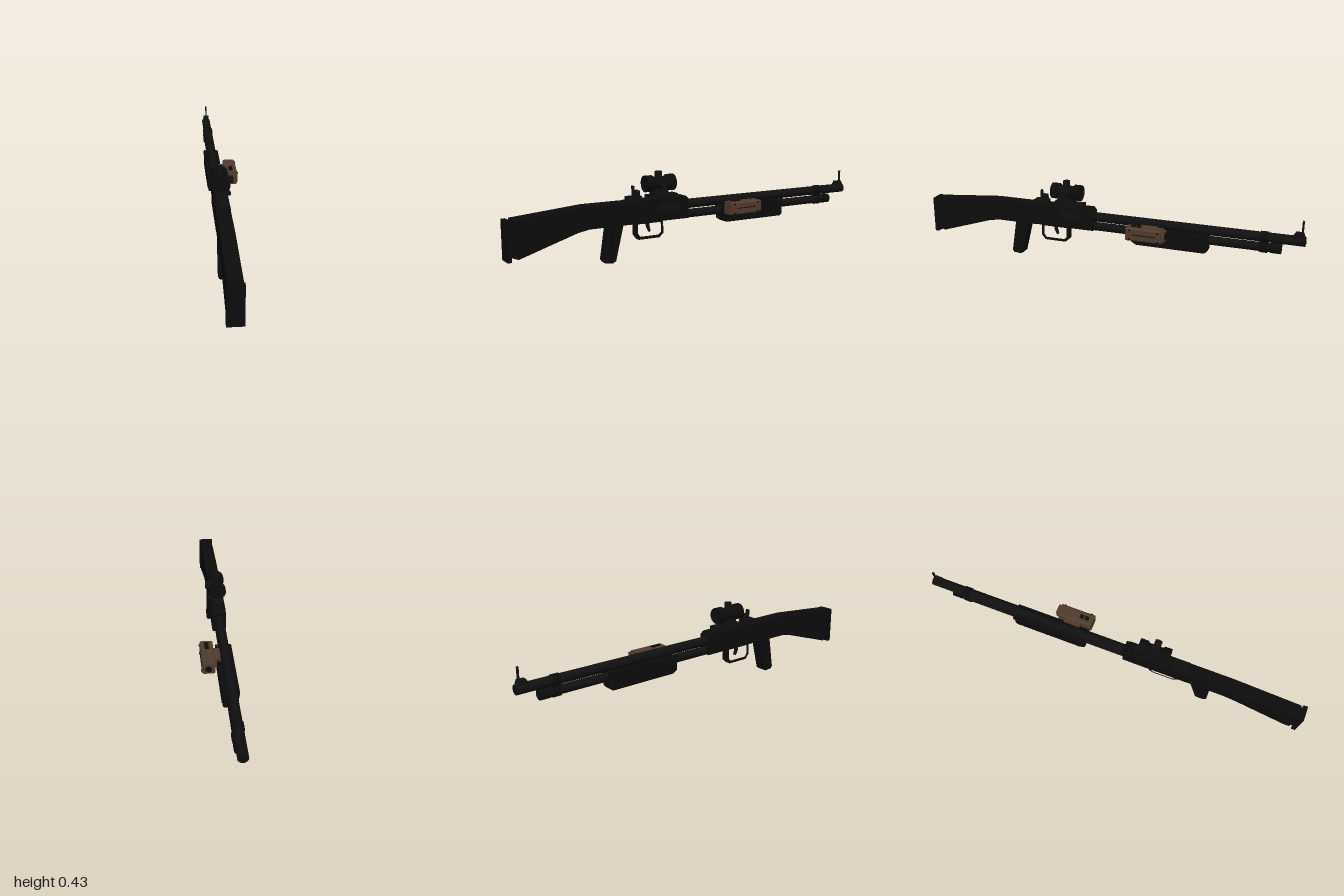
import * as THREE from 'three';

const mat = (name, color) => {
  const m = new THREE.MeshStandardMaterial({ color });
  m.name = name;
  return m;
};

export function createModel() {
  const black = mat('black polymer', 0x0c0c0c);
  const steel = mat('dark steel', 0x101010);
  const tan = mat('brown casing', 0x523c2d);
  const model = new THREE.Group();
  const CX = -0.04; // centre line of the long body

  const add = (name, geo, m, x = 0, y = 0, z = 0) => {
    const mesh = new THREE.Mesh(geo, m);
    mesh.name = name;
    mesh.position.set(x, y, z);
    model.add(mesh);
    return mesh;
  };
  // box given by its limits
  const box = (name, m, x0, x1, y0, y1, z0, z1) =>
    add(name, new THREE.BoxGeometry(x1 - x0, y1 - y0, z1 - z0), m, (x0 + x1) / 2, (y0 + y1) / 2, (z0 + z1) / 2);
  // cylinder along z between z0 and z1
  const tube = (name, m, r, x, y, z0, z1) =>
    add(name, new THREE.CylinderGeometry(r, r, z1 - z0, 24).rotateX(Math.PI / 2), m, x, y, (z0 + z1) / 2);
  // side profile of [z, y] points, extruded across x and centred
  const profile = (name, m, pts, width, bevel = 0.006, hole = null) => {
    const shape = new THREE.Shape(pts.map(p => new THREE.Vector2(...p)));
    if (hole) shape.holes.push(new THREE.Path(hole.map(p => new THREE.Vector2(...p))));
    const geo = new THREE.ExtrudeGeometry(shape, {
      depth: width - 2 * bevel, bevelEnabled: bevel > 0, bevelSize: bevel,
      bevelThickness: bevel, bevelOffset: -bevel, bevelSegments: 2,
    });
    geo.translate(0, 0, -(width - 2 * bevel) / 2).rotateY(-Math.PI / 2);
    return add(name, geo, m, CX, 0, 0);
  };

  // Shoulder stock and butt pad
  profile('stock', black, [[0.968, 0.268], [0.62, 0.298], [0.38, 0.298], [0.38, 0.183],
    [0.6, 0.183], [0.66, 0.172], [0.945, 0.082], [0.968, 0.09]], 0.068);
  box('buttPad', black, -0.078, -0.002, 0.075, 0.265, 0.979, 1);
  box('buttPadSpacer', black, -0.07, -0.01, 0.11, 0.25, 0.96, 0.98);

  // Receiver
  profile('receiver', black, [[0.4, 0.3], [0.075, 0.3], [0.058, 0.285], [0.058, 0.185], [0.4, 0.185]], 0.07);
  box('ejectionPort', steel, -0.006, -0.002, 0.235, 0.275, 0.12, 0.24);

  // Pistol grip
  profile('grip', black, [[0.42, 0.195], [0.5, 0.195], [0.528, 0.02], [0.518, 0.006],
    [0.48, 0.003], [0.465, 0.012]], 0.067, 0.01);

  // Trigger and guard
  profile('triggerGuard', black, [[0.355, 0.19], [0.355, 0.125], [0.335, 0.1], [0.22, 0.1],
    [0.198, 0.12], [0.198, 0.19]], 0.034, 0.002,
    [[0.342, 0.18], [0.342, 0.13], [0.328, 0.113], [0.226, 0.113], [0.211, 0.125], [0.211, 0.18]]);
  profile('trigger', steel, [[0.292, 0.19], [0.284, 0.155], [0.272, 0.132], [0.264, 0.136],
    [0.27, 0.16], [0.27, 0.19]], 0.014, 0.001);

  // Rear sight
  box('rearSightBase', steel, -0.062, -0.018, 0.295, 0.318, 0.318, 0.392);
  for (const x of [-0.052, -0.028]) box('rearSightEar', steel, x - 0.004, x + 0.004, 0.315, 0.345, 0.325, 0.352);
  box('rearSightLeaf', steel, -0.05, -0.03, 0.315, 0.368, 0.353, 0.36);

  // Scope rail, clamp and mount
  box('scopeRail', steel, -0.067, -0.011, 0.295, 0.317, 0.12, 0.28);
  box('scopeMount', steel, -0.06, -0.018, 0.315, 0.35, 0.17, 0.255);
  add('clampKnob', new THREE.CylinderGeometry(0.011, 0.011, 0.026, 16).rotateZ(Math.PI / 2), steel, -0.004, 0.298, 0.21);

  // Scope with flared ends, recessed lenses and turrets
  const scopeProfile = [[0, -0.068], [0.032, -0.068], [0.034, -0.08], [0.041, -0.08], [0.041, -0.042],
    [0.033, -0.036], [0.033, 0.036], [0.041, 0.042], [0.041, 0.08], [0.034, 0.08], [0.032, 0.068], [0, 0.068]];
  const scope = new THREE.LatheGeometry(scopeProfile.map(p => new THREE.Vector2(...p)), 28).toNonIndexed();
  scope.computeVertexNormals();
  add('scopeBody', scope.rotateX(Math.PI / 2), black, CX, 0.372, 0.212);
  add('topTurret', new THREE.CylinderGeometry(0.018, 0.018, 0.04, 18), steel, CX, 0.411, 0.215);
  add('sideTurret', new THREE.CylinderGeometry(0.018, 0.018, 0.04, 18).rotateZ(Math.PI / 2), steel, 0, 0.372, 0.215);

  // Barrel, magazine tube and clamp
  tube('barrel', steel, 0.024, CX, 0.254, -0.998, 0.07);
  tube('muzzleBore', black, 0.015, CX, 0.254, -1, -0.99);
  tube('magazineTube', steel, 0.022, CX, 0.203, -0.85, 0.07);
  tube('magazineCap', black, 0.025, CX, 0.203, -0.89, -0.84);
  tube('barrelClampRing', black, 0.028, CX, 0.254, -0.825, -0.788);
  tube('magazineClampRing', black, 0.027, CX, 0.203, -0.825, -0.788);
  box('clampBridge', black, -0.054, -0.026, 0.2, 0.255, -0.825, -0.788);

  // Front sight
  profile('frontSightRamp', steel, [[-0.935, 0.27], [-0.95, 0.296], [-0.985, 0.296], [-0.995, 0.27]], 0.03, 0.002);
  box('frontSightPost', steel, -0.044, -0.036, 0.29, 0.355, -0.985, -0.976);

  // Sliding fore-end with ribs
  profile('foreEnd', black, [[-0.148, 0.225], [-0.148, 0.155], [-0.175, 0.14], [-0.525, 0.14],
    [-0.538, 0.152], [-0.538, 0.225]], 0.07);
  for (let i = 0; i < 14; i++) {
    const z = -0.185 - i * 0.025;
    box('foreEndRib', black, -0.08, 0, 0.16, 0.212, z - 0.007, z + 0.007);
  }
  for (const x of [-0.074, -0.006]) box('foreEndRail', black, x - 0.006, x + 0.006, 0.212, 0.235, -0.538, -0.148);

  // Side-mounted light
  box('lightBracket', tan, -0.018, 0.016, 0.195, 0.25, -0.285, -0.2);
  const s = new THREE.Shape([[0.012, 0.196], [0.018, 0.19], [0.069, 0.19], [0.076, 0.197],
    [0.076, 0.25], [0.069, 0.257], [0.018, 0.257], [0.012, 0.251]].map(p => new THREE.Vector2(...p)));
  add('lightHousing', new THREE.ExtrudeGeometry(s, { depth: 0.18, bevelEnabled: false }), tan, 0, 0, -0.325);
  box('lightHood', tan, 0.022, 0.068, 0.2, 0.252, -0.34, -0.32);
  tube('lightLens', black, 0.016, 0.045, 0.225, -0.343, -0.338);
  for (const z of [-0.205, -0.178]) box('lightButton', black, 0.034, 0.054, 0.255, 0.263, z - 0.01, z + 0.01);
  for (const y of [0.2, 0.246]) for (const z of [-0.165, -0.31])
    add('lightScrew', new THREE.CylinderGeometry(0.005, 0.005, 0.008, 10).rotateZ(Math.PI / 2), black, 0.076, y, z);
  box('lightSeam', black, 0.0755, 0.0775, 0.222, 0.226, -0.3, -0.18);

  return model;
}
